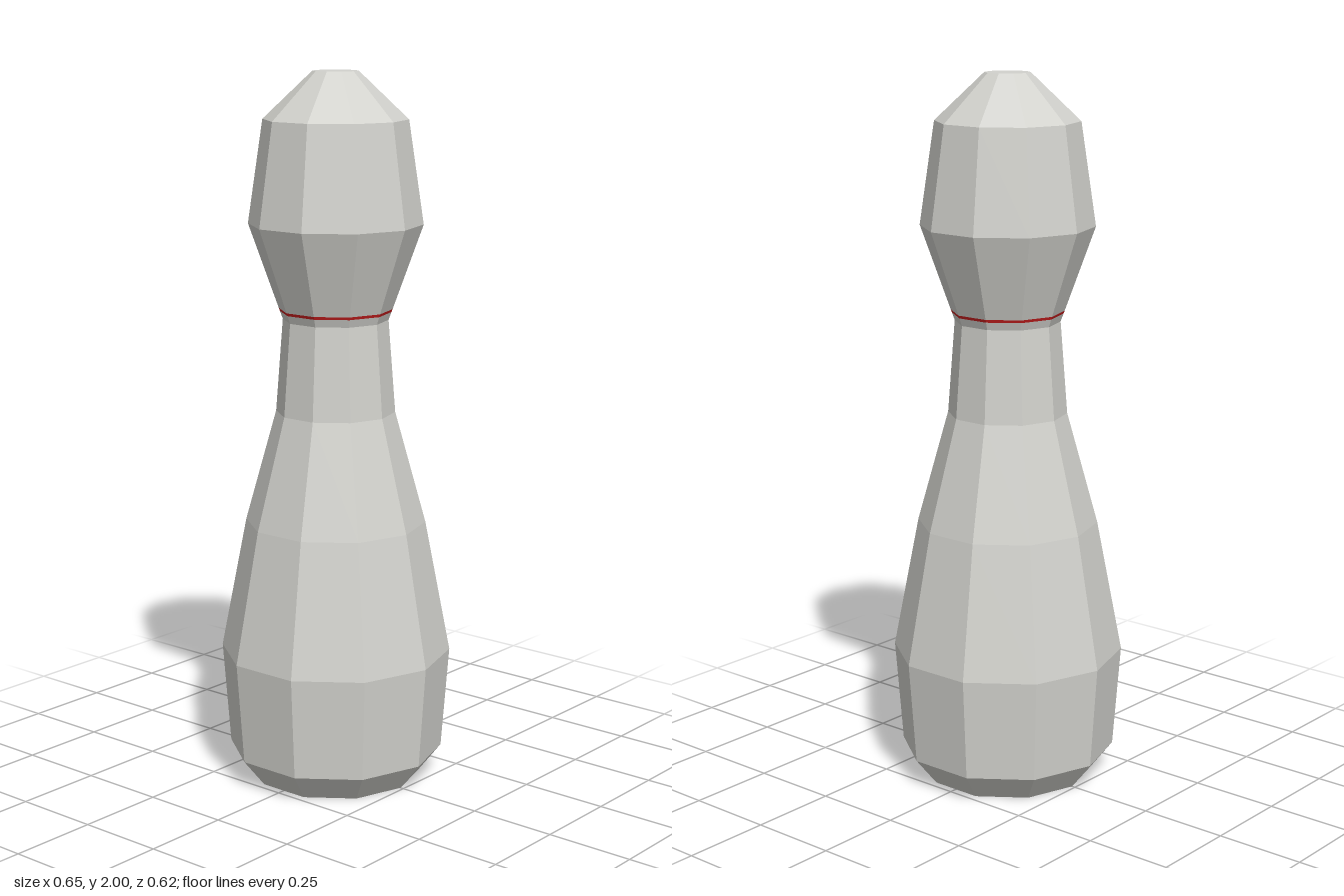
import * as THREE from 'three';

const SIDES = 10;

// Ten-sided turned section from [radius, height] pairs, with a corner on the x axis
function turned(name, profile, material) {
  const points = profile.map(([r, y]) => new THREE.Vector2(r, y));
  const geometry = new THREE.LatheGeometry(points, SIDES, Math.PI / 2).toNonIndexed();
  geometry.computeVertexNormals();
  const mesh = new THREE.Mesh(geometry, material);
  mesh.name = name;
  return mesh;
}

export function createModel() {
  const paint = new THREE.MeshStandardMaterial({ color: 0xd2d2cd });
  paint.name = 'pale grey';
  paint.flatShading = true;
  const red = new THREE.MeshStandardMaterial({ color: 0xc81e1e });
  red.name = 'red';
  red.flatShading = true;

  const group = new THREE.Group();
  group.name = 'bowlingPin';

  // Foot, belly and neck
  group.add(turned('body', [
    [0, 0], [0.24, 0], [0.304, 0.08], [0.326, 0.37], [0.254, 0.745],
    [0.167, 1.06], [0.147, 1.32], [0.155, 1.342],
  ], paint));

  // Thin stripe around the neck
  group.add(turned('neckStripe', [[0.155, 1.342], [0.158, 1.35]], red));

  // Head with a flat crown
  group.add(turned('head', [
    [0.158, 1.35], [0.242, 1.585], [0.2, 1.87], [0.063, 2], [0, 2],
  ], paint));

  return group;
}
